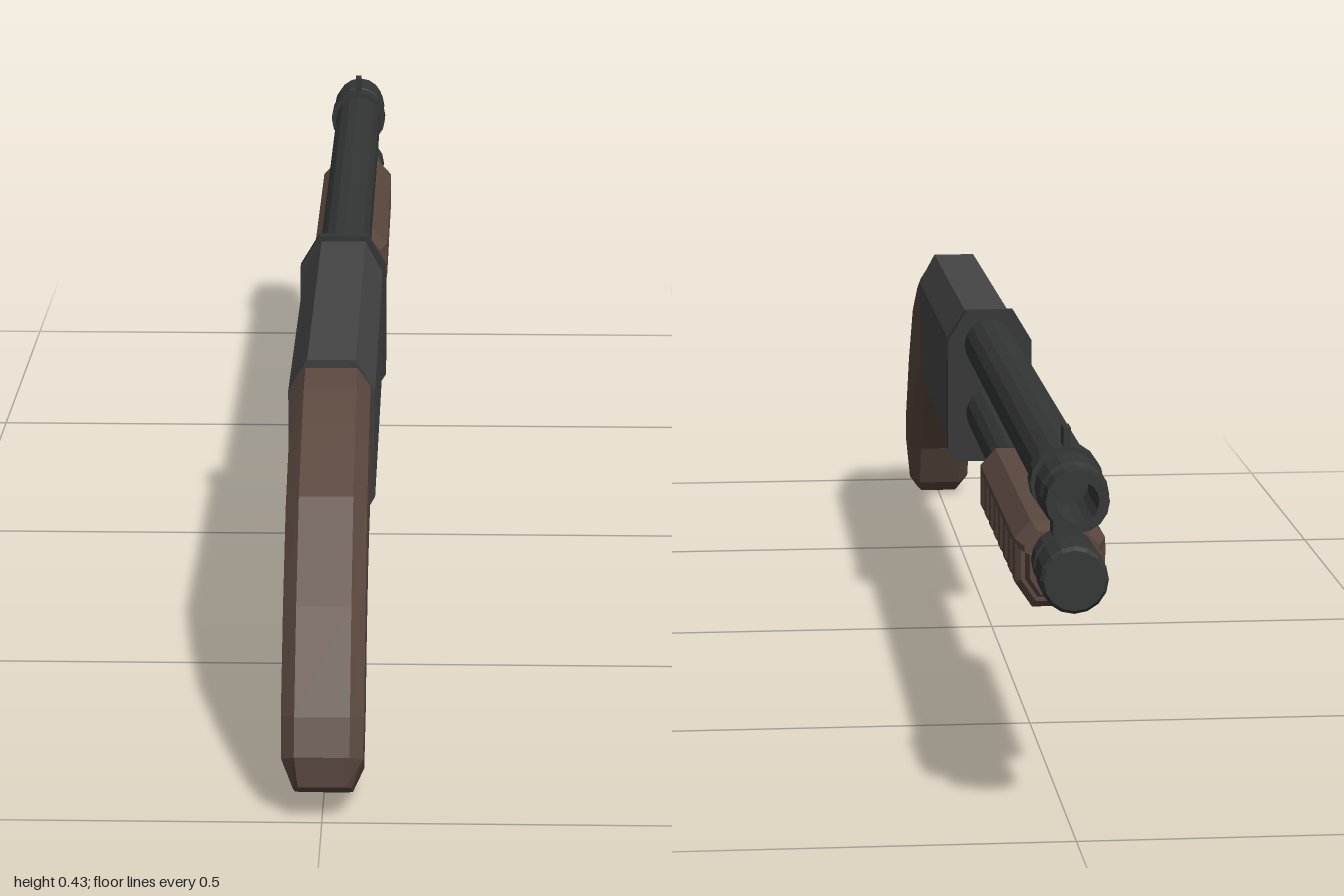
import * as THREE from 'three';

const material = (color) => new THREE.MeshStandardMaterial({ color, flatShading: true, side: THREE.DoubleSide });

// Mirrors a right-hand half section (bottom to top) into a closed ring.
const mirror = (half) => [...half, ...half.map(([x, y]) => [-x, y]).reverse()];

// Extrudes an [x, y] section from z0 to z1.
function prism(points, z0, z1) {
  const shape = new THREE.Shape(points.map(([x, y]) => new THREE.Vector2(x, y)));
  return new THREE.ExtrudeGeometry(shape, { depth: z1 - z0, bevelEnabled: false }).translate(0, 0, z0);
}

// Skins rings of [x, y, z] points and closes both ends.
function loft(rings) {
  const pos = [];
  const n = rings[0].length;
  const centre = (r) => [0, 1, 2].map((k) => r.reduce((s, p) => s + p[k], 0) / n);
  const last = rings[rings.length - 1];
  const c0 = centre(rings[0]), c1 = centre(last);
  for (let i = 0; i < n; i++) {
    const j = (i + 1) % n;
    for (let k = 0; k + 1 < rings.length; k++) {
      const a = rings[k][i], b = rings[k][j], c = rings[k + 1][j], d = rings[k + 1][i];
      pos.push(...a, ...b, ...c, ...a, ...c, ...d);
    }
    pos.push(...c0, ...rings[0][j], ...rings[0][i], ...c1, ...last[i], ...last[j]);
  }
  const g = new THREE.BufferGeometry();
  g.setAttribute('position', new THREE.Float32BufferAttribute(pos, 3));
  g.computeVertexNormals();
  return g;
}

// Lathe whose axis runs forward along -z at height y; profile is [radius, -z].
function turned(profile, y) {
  return new THREE.LatheGeometry(profile.map(([r, d]) => new THREE.Vector2(r, d)), 16)
    .rotateX(-Math.PI / 2).translate(0, y, 0);
}

export function createModel() {
  const group = new THREE.Group();
  const steel = material(0x343635), body = material(0x454545), wood = material(0x5b483f);
  const add = (name, geometry, mat) => {
    const mesh = new THREE.Mesh(geometry, mat);
    mesh.name = name;
    group.add(mesh);
  };
  const barrelY = 0.374, tubeY = 0.283;

  // Receiver, recessed on one side to take the panel with the ejection port
  const receiver = prism([
    [0.043, 0.225], [0.05, 0.238], [0.05, 0.372], [0.028, 0.411],
    [-0.028, 0.411], [-0.05, 0.372], [-0.038, 0.372], [-0.038, 0.238], [-0.05, 0.238], [-0.043, 0.225],
  ], 0.04, 0.575);
  const p = receiver.attributes.position;
  const rearSlant = (y) => (y - 0.225) * 0.17;
  for (let i = 0; i < p.count; i++) {
    if (p.getZ(i) > 0.5) p.setZ(i, p.getZ(i) + rearSlant(p.getY(i)));
  }
  receiver.computeVertexNormals();
  add('receiver', receiver, body);

  // Side panel, drawn in (-z, y) and turned to face -x
  const panel = new THREE.Shape([
    [-0.04, 0.238], [-0.04, 0.372], [-0.575 - rearSlant(0.372), 0.372], [-0.575 - rearSlant(0.238), 0.238],
  ].map(([x, y]) => new THREE.Vector2(x, y)));
  const port = new THREE.Path();
  port.absarc(-0.13, 0.325, 0.019, -Math.PI / 2, Math.PI / 2, false);
  port.absarc(-0.235, 0.325, 0.019, Math.PI / 2, Math.PI * 1.5, false);
  port.closePath();
  panel.holes.push(port);
  add('ejectionPortPanel', new THREE.ExtrudeGeometry(panel, { depth: 0.012, bevelEnabled: false, curveSegments: 6 })
    .rotateY(Math.PI / 2).translate(-0.05, 0, 0), body);

  // Collar at the front of the receiver
  add('receiverCollar', prism(mirror([[0.045, 0.219], [0.055, 0.235], [0.055, 0.378], [0.031, 0.418]]), 0.03, 0.045), steel);

  // Hollow barrel with stepped muzzle
  add('barrel', turned([
    [0.033, -0.05], [0.033, 0.91], [0.0375, 0.915], [0.0375, 0.965], [0.034, 0.972],
    [0.034, 1], [0.023, 1], [0.023, 0.9], [0, 0.9],
  ], barrelY), steel);

  // Magazine tube with end cap
  add('magazineTube', turned([
    [0.031, -0.05], [0.031, 0.91], [0.037, 0.914], [0.037, 0.97], [0.033, 0.975], [0, 0.975],
  ], tubeY), steel);

  // Clamp joining barrel and tube, with the front sight
  for (const [name, y, r] of [['barrelClamp', barrelY, 0.04], ['tubeClamp', tubeY, 0.036]]) {
    add(name, turned([[0.03, 0.865], [r, 0.865], [r, 0.895], [0.03, 0.895]], y), steel);
  }
  add('clampBridge', new THREE.BoxGeometry(0.03, 0.06, 0.03).translate(0, 0.328, -0.88), steel);
  add('frontSight', new THREE.BoxGeometry(0.008, 0.03, 0.026).translate(0, 0.419, -0.882), steel);

  // Fore-end with tapered ends and ribs around the lower half
  const foreHalf = [[0.028, 0.231], [0.043, 0.254], [0.043, 0.286], [0.05, 0.29], [0.05, 0.298], [0.032, 0.318]];
  const foreRing = (z, s) => mirror(foreHalf).map(([x, y]) => [x * s, 0.275 + (y - 0.275) * s, z]);
  add('foreEnd', loft([foreRing(-0.847, 0.82), foreRing(-0.825, 1), foreRing(-0.4, 1), foreRing(-0.377, 0.82)]), wood);
  const ribHalf = [[0.031, 0.222], [0.05, 0.25], [0.05, 0.292]];
  const ribRing = (z, s) => mirror(ribHalf).map(([x, y]) => [x * s, 0.285 + (y - 0.285) * s, z]);
  for (let i = 0; i < 8; i++) {
    const z = -0.815 + i * 0.0577;
    add('foreEndRib', loft([ribRing(z - 0.02, 0.88), ribRing(z - 0.013, 1), ribRing(z + 0.013, 1), ribRing(z + 0.02, 0.88)]), wood);
  }

  // Curved grip: [top z, top y, bottom z, bottom y, half width, flat half width]
  const grip = [
    [0.6, 0.402, 0.57, 0.228, 0.045, 0.03],
    [0.655, 0.392, 0.625, 0.217, 0.045, 0.03],
    [0.718, 0.369, 0.68, 0.208, 0.045, 0.03],
    [0.823, 0.316, 0.737, 0.187, 0.045, 0.03],
    [0.914, 0.22, 0.808, 0.138, 0.045, 0.03],
    [0.984, 0.118, 0.86, 0.078, 0.045, 0.03],
    [1, 0.078, 0.887, 0.02, 0.044, 0.03],
    [0.998, 0.043, 0.912, 0.003, 0.032, 0.026],
  ].map(([tz, ty, bz, by, w, f]) => {
    const at = (x, t) => [x, by + (ty - by) * t, bz + (tz - bz) * t];
    return [at(f, 0), at(w, 0.13), at(w, 0.87), at(f, 1), at(-f, 1), at(-w, 0.87), at(-w, 0.13), at(-f, 0)];
  });
  add('grip', loft(grip), wood);

  // Side outlines in (z, y), extruded across the width
  const sideCut = (shape, width) => new THREE.ExtrudeGeometry(shape, { depth: width, bevelEnabled: false, curveSegments: 5 })
    .rotateY(-Math.PI / 2).translate(width / 2, 0, 0);

  // Trigger guard: open loop
  const guard = new THREE.Shape();
  guard.moveTo(0.562, 0.23);
  guard.quadraticCurveTo(0.56, 0.14, 0.475, 0.139);
  guard.quadraticCurveTo(0.412, 0.139, 0.402, 0.185);
  guard.quadraticCurveTo(0.392, 0.212, 0.36, 0.23);
  const gap = new THREE.Path();
  gap.moveTo(0.549, 0.222);
  gap.quadraticCurveTo(0.545, 0.151, 0.475, 0.15);
  gap.quadraticCurveTo(0.422, 0.15, 0.414, 0.19);
  gap.quadraticCurveTo(0.41, 0.208, 0.398, 0.222);
  guard.holes.push(gap);
  add('triggerGuard', sideCut(guard, 0.024), body);

  // Trigger: curved blade
  const trigger = new THREE.Shape();
  trigger.moveTo(0.525, 0.23);
  trigger.quadraticCurveTo(0.492, 0.2, 0.482, 0.16);
  trigger.lineTo(0.474, 0.162);
  trigger.quadraticCurveTo(0.475, 0.195, 0.49, 0.23);
  add('trigger', sideCut(trigger, 0.012), body);

  return group;
}
